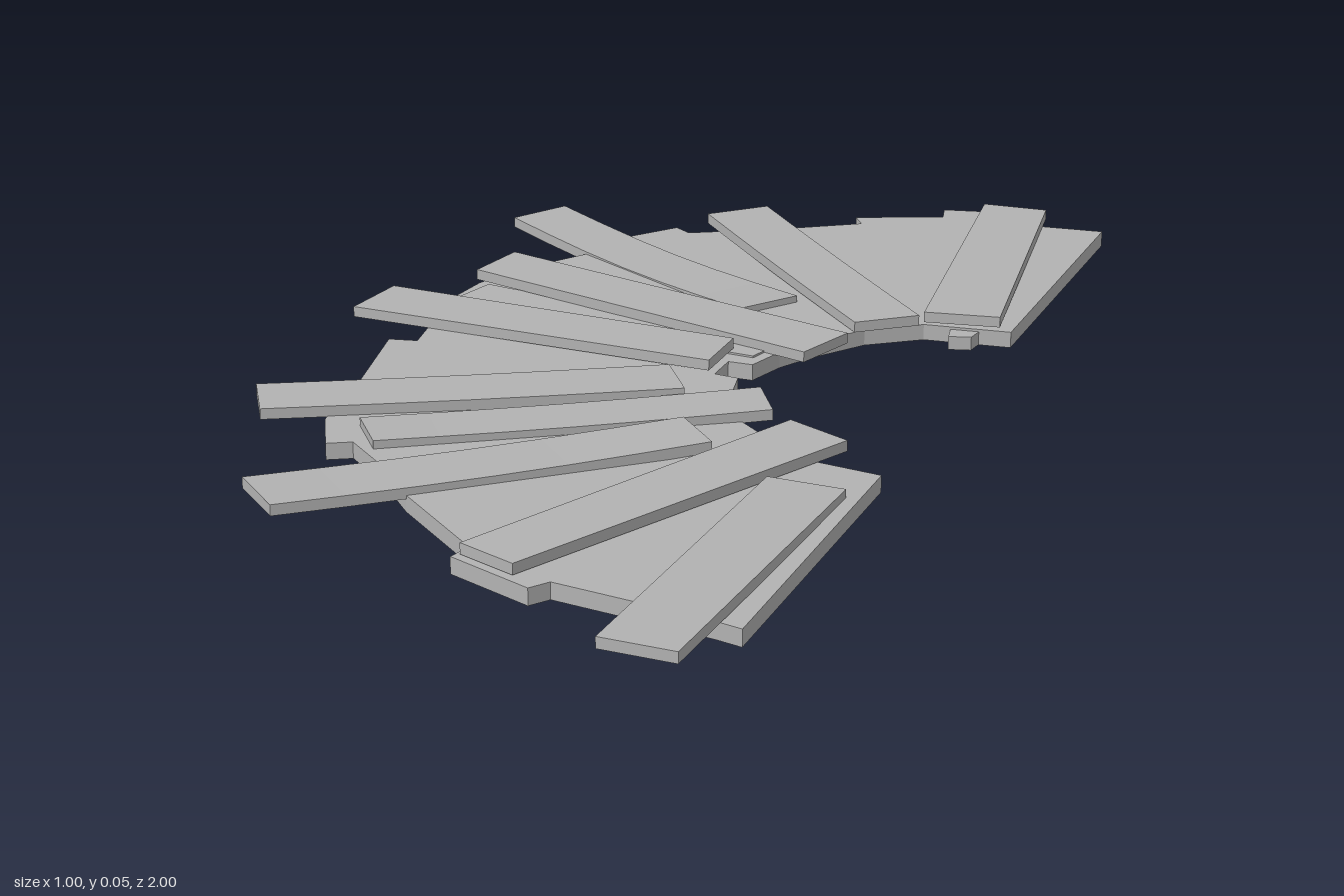
import * as THREE from 'three';

const BASE_TOP = 0.026;

// Plank laid over four [x, z] corners: outer, inner, inner, outer (clockwise from above).
// yOut and yIn are the underside heights at the ends; sag lowers the middle.
function plank(name, material, corners, yOut, yIn, sag = 0) {
  const thickness = 0.017;
  const geo = new THREE.BoxGeometry(1, thickness, 1, 6, 1, 1).toNonIndexed();
  const p = geo.attributes.position;
  const [a, b, c, d] = corners;
  for (let i = 0; i < p.count; i++) {
    const u = p.getX(i) + 0.5, v = p.getZ(i) + 0.5;
    const mix = (k) => (1 - v) * ((1 - u) * a[k] + u * b[k]) + v * ((1 - u) * d[k] + u * c[k]);
    const y = p.getY(i) + thickness / 2 + yOut + (yIn - yOut) * u - sag * Math.sin(Math.PI * u);
    p.setXYZ(i, mix(0), y, mix(1));
  }
  geo.computeVertexNormals();
  const mesh = new THREE.Mesh(geo, material);
  mesh.name = name;
  return mesh;
}

// Flat slab standing on the ground, from an [x, z] outline
function slab(name, material, outline, height) {
  const shape = new THREE.Shape(outline.map(([x, z]) => new THREE.Vector2(x, -z)));
  const geo = new THREE.ExtrudeGeometry(shape, { depth: height, bevelEnabled: false });
  geo.rotateX(-Math.PI / 2);
  const mesh = new THREE.Mesh(geo, material);
  mesh.name = name;
  return mesh;
}

export function createModel() {
  const model = new THREE.Group();
  model.name = 'curvedBoardwalk';
  const gray = new THREE.MeshStandardMaterial({ color: 0xb2b2b2 });
  gray.name = 'plainGray';

  // Ragged crescent deck
  model.add(slab('deck', gray, [
    [0.5, 0.28], [0.5, 0.86], [0.46, 0.85], [0.34, 0.83], [0.21, 0.81], [0.19, 0.84], [0.05, 0.78],
    [0.06, 0.74], [-0.1, 0.6], [-0.18, 0.51], [-0.26, 0.44], [-0.295, 0.46], [-0.34, 0.37],
    [-0.36, 0.22], [-0.405, 0.01], [-0.36, 0.0], [-0.37, -0.06], [-0.4, -0.17], [-0.385, -0.3],
    [-0.34, -0.41], [-0.27, -0.52], [-0.25, -0.62], [-0.19, -0.7], [-0.16, -0.68], [-0.02, -0.76],
    [0.1, -0.84], [0.08, -0.87], [0.22, -0.93], [0.21, -0.97], [0.34, -1.0], [0.36, -0.97],
    [0.4, -0.94], [0.5, -0.95], [0.5, -0.385], [0.36, -0.37], [0.28, -0.31], [0.22, -0.22],
    [0.19, -0.16], [0.17, -0.09], [0.13, -0.09], [0.13, -0.03], [0.17, -0.025], [0.19, 0.07],
    [0.24, 0.15], [0.31, 0.21], [0.4, 0.265],
  ], BASE_TOP));

  // Short stub poking out of the inner edge
  model.add(slab('innerStub', gray,
    [[0.4, -0.39], [0.41, -0.34], [0.445, -0.35], [0.45, -0.39]], 0.022));

  // Loose planks fanned around the deck: corners, outer height, inner height, sag
  const planks = [
    [[[0.35, 0.995], [0.36, 0.375], [0.48, 0.38], [0.465, 1.0]], 0.03, 0.022, 0],
    [[[0.06, 0.77], [0.32, 0.16], [0.425, 0.21], [0.155, 0.81]], 0.027, 0.027, 0],
    [[[-0.33, 0.655], [0.17, 0.21], [0.245, 0.29], [-0.245, 0.735]], 0.023, 0.028, 0.005],
    [[[-0.28, 0.375], [0.23, 0.04], [0.28, 0.125], [-0.22, 0.455]], 0.022, 0.025, 0.003],
    [[[-0.485, 0.31], [0.07, 0.01], [0.13, 0.1], [-0.43, 0.405]], 0.025, 0.03, 0.002],
    [[[-0.49, -0.19], [0.12, -0.14], [0.12, -0.03], [-0.505, -0.07]], 0.025, 0.03, 0],
    [[[-0.37, -0.41], [0.275, -0.24], [0.24, -0.13], [-0.39, -0.3]], 0.031, 0.026, 0],
    [[[-0.4, -0.7], [0.135, -0.4], [0.07, -0.305], [-0.455, -0.605]], 0.024, 0.02, 0.011],
    [[[-0.06, -0.8], [0.355, -0.36], [0.27, -0.29], [-0.14, -0.72]], 0.034, 0.027, 0.002],
    [[[0.39, -0.985], [0.48, -0.39], [0.36, -0.37], [0.28, -0.98]], 0.025, 0.03, 0],
  ];
  planks.forEach(([corners, yOut, yIn, sag], i) =>
    model.add(plank(`plank${i + 1}`, gray, corners, yOut, yIn, sag)));

  // Lower plank lying flush on the deck between the two back planks
  model.add(plank('lowerPlank', gray,
    [[-0.365, -0.29], [0.18, -0.2], [0.16, -0.12], [-0.395, -0.17]], 0.012, 0.012));

  return model;
}
